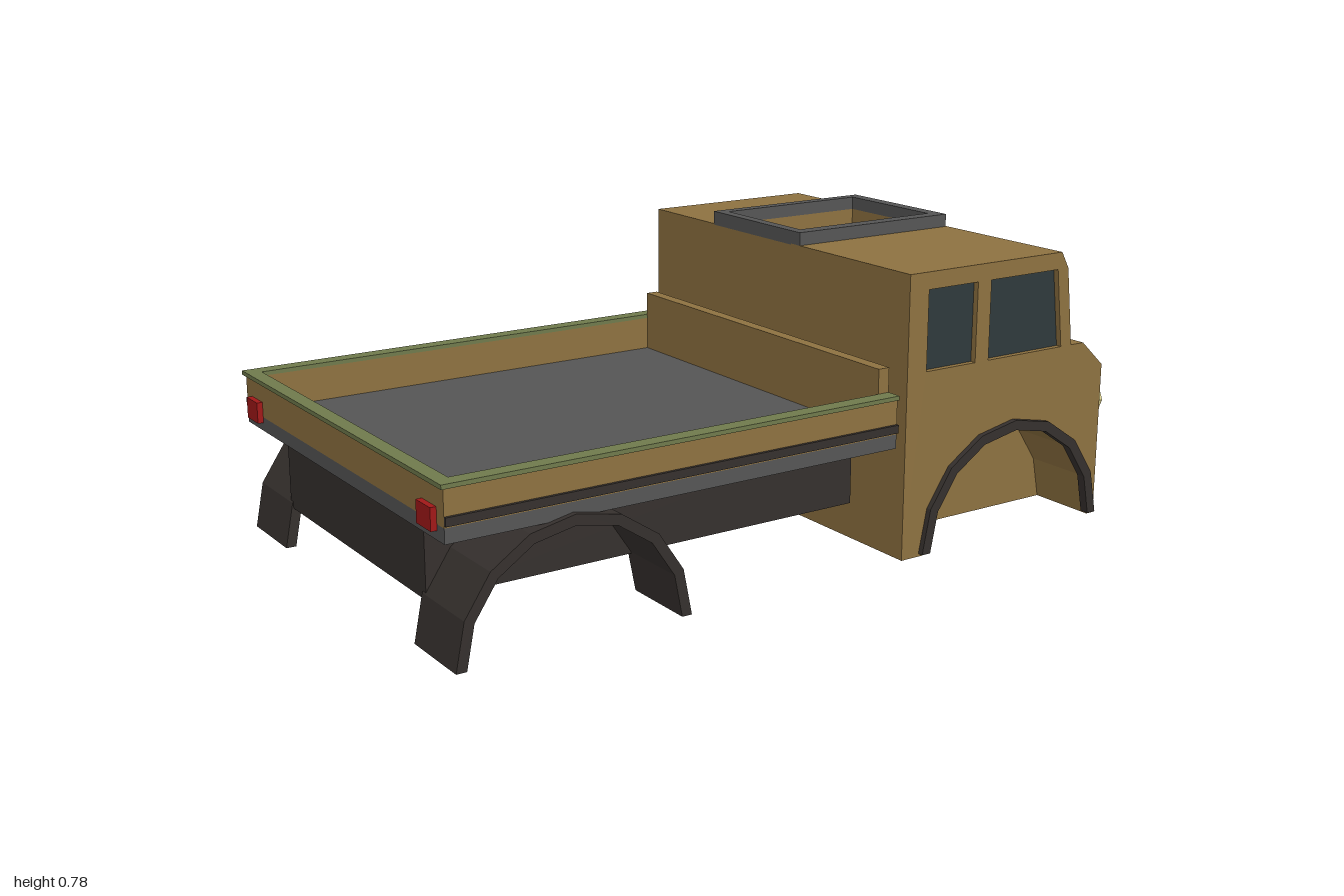
import * as THREE from 'three';

const mat = (color) => new THREE.MeshStandardMaterial({ color, flatShading: true });
const tan = mat(0x8d7140), dark = mat(0x35302d), grey = mat(0x555555), glass = mat(0x2f393c);
const green = mat(0x6f7a4c), lamp = mat(0xddd28f), red = mat(0xa01818);

const WELL_X = 0.666, WELL_IN = 0.375, SKIN = 0.545, SIDE = 0.565;

// half-circle points from the right foot over the top to the left foot
function arc(cx, r, y0, n = 8) {
  return Array.from({ length: n + 1 }, (_, i) => {
    const a = (i / n) * Math.PI;
    return [cx + r * Math.cos(a), y0 + r * Math.sin(a)];
  });
}

export function createModel() {
  const root = new THREE.Group();

  function add(parent, name, geo, material) {
    const m = new THREE.Mesh(geo, material);
    m.name = name;
    parent.add(m);
    return m;
  }
  // box given by its limits on each axis
  function box(parent, name, material, [x0, x1], [y0, y1], [z0, z1]) {
    const g = new THREE.BoxGeometry(x1 - x0, y1 - y0, z1 - z0);
    g.translate((x0 + x1) / 2, (y0 + y1) / 2, (z0 + z1) / 2);
    return add(parent, name, g, material);
  }
  // side outline extruded from z0 to z1
  function prism(parent, name, material, pts, z0, z1, holes = []) {
    const toV = (list) => list.map(([x, y]) => new THREE.Vector2(x, y));
    const shape = new THREE.Shape(toV(pts));
    holes.forEach((h) => shape.holes.push(new THREE.Path(toV(h))));
    const g = new THREE.ExtrudeGeometry(shape, { depth: z1 - z0, bevelEnabled: false });
    g.translate(0, 0, z0);
    return add(parent, name, g, material);
  }
  // same prism on both sides, zi to zo outward
  function mirrored(parent, name, material, pts, zi, zo, holes) {
    prism(parent, name + 'Left', material, pts, zi, zo, holes);
    prism(parent, name + 'Right', material, pts, -zo, -zi, holes);
  }

  // ---- cab ----
  const cab = new THREE.Group();
  cab.name = 'cab';
  root.add(cab);

  const nose = [[0.865, 0.49], [0.91, 0.49], [0.985, 0.42], [0.985, 0]];
  const brow = [[0.84, 0.7], [0.815, 0.745]];
  const recess = [[0.825, 0.7], [0.85, 0.49]];
  const floor = [[0.3, 0]];
  const roof = [[0.3, 0.745]];
  const front = [...nose].reverse();
  const back = [...recess].reverse();
  const hatchCut = [[0.775, 0.745], [0.775, 0.675], [0.33, 0.675], [0.33, 0.745]];
  const wellCut = arc(WELL_X, 0.295, 0).reverse();

  const plain = [...floor, ...front, ...back, ...brow, ...roof];
  const notched = [...floor, ...front, ...back, ...brow, ...hatchCut, ...roof];
  const arched = [...floor, ...wellCut, ...front, ...back, ...brow, ...roof];
  const skin = [...floor, ...wellCut, ...front, ...brow, ...roof];
  const solid = [...floor, ...front, ...brow, ...roof];

  prism(cab, 'cabCoreRight', tan, plain, -WELL_IN, -0.25);
  prism(cab, 'cabCoreUnderHatch', tan, notched, -0.25, 0.08);
  prism(cab, 'cabCoreLeft', tan, plain, 0.08, WELL_IN);
  mirrored(cab, 'wheelWell', tan, arched, WELL_IN, SKIN);

  // side skins with window openings, glass set behind them
  const rearWindow = [[0.362, 0.49], [0.525, 0.49], [0.525, 0.7], [0.362, 0.7]];
  const doorWindow = [[0.57, 0.49], [0.828, 0.49], [0.803, 0.7], [0.57, 0.7]];
  mirrored(cab, 'sidePanel', tan, skin, SKIN, SIDE, [rearWindow, doorWindow]);
  mirrored(cab, 'rearSideWindow', glass, rearWindow, SKIN - 0.005, SKIN + 0.004);
  mirrored(cab, 'doorWindow', glass, doorWindow, SKIN - 0.005, SKIN + 0.004);

  // split windshield
  prism(cab, 'windshieldPost', tan, solid.filter(([, y]) => y >= 0.49 && y <= 0.7)
    .filter(([x]) => x < 0.9).concat([[0.8, 0.7], [0.8, 0.49]]), -0.019, 0.019);
  mirrored(cab, 'windshield', glass,
    [[0.84, 0.49], [0.854, 0.49], [0.829, 0.7], [0.815, 0.7]], 0.019, SKIN);

  // wheel arch trim
  const archRing = (cx) => [...arc(cx, 0.31, 0.008), ...arc(cx, 0.283, 0.008).reverse()];
  mirrored(cab, 'archTrim', dark, archRing(WELL_X), 0.555, 0.58);

  // roof hatch
  const hatch = new THREE.Group();
  hatch.name = 'roofHatch';
  cab.add(hatch);
  const hy = [0.742, 0.78];
  box(hatch, 'hatchFrameRear', grey, [0.3, 0.33], hy, [-0.28, 0.118]);
  box(hatch, 'hatchFrameFront', grey, [0.775, 0.81], hy, [-0.28, 0.118]);
  box(hatch, 'hatchFrameLeft', grey, [0.33, 0.775], hy, [0.08, 0.118]);
  box(hatch, 'hatchFrameRight', grey, [0.33, 0.775], hy, [-0.28, -0.25]);
  box(hatch, 'hatchGlass', glass, [0.33, 0.775], [0.67, 0.685], [-0.25, 0.08]);

  // grille: dark panel with upright bars
  box(cab, 'grillePanel', dark, [0.98, 0.99], [0.145, 0.4], [-0.258, 0.258]);
  for (let i = -2; i <= 2; i++) {
    const z = i * 0.103;
    box(cab, 'grilleBar', tan, [0.98, 1], [0.145, 0.4], [z - 0.02, z + 0.02]);
  }

  // headlights
  for (const s of [1, -1]) {
    const g = new THREE.CylinderGeometry(0.061, 0.061, 0.02, 8);
    g.rotateZ(-Math.PI / 2);
    g.translate(0.99, 0.317, s * 0.5);
    add(cab, 'headlight', g, lamp);
  }

  // ---- cargo bed ----
  const bed = new THREE.Group();
  bed.name = 'cargoBed';
  root.add(bed);

  box(bed, 'chassis', dark, [-0.95, 0.27], [0.112, 0.306], [-0.39, 0.39]);
  box(bed, 'bedFloor', grey, [-0.985, 0.27], [0.305, 0.342], [-SIDE, SIDE]);
  box(bed, 'tailBoard', tan, [-0.985, -0.955], [0.342, 0.432], [-SIDE, SIDE]);
  box(bed, 'tailRim', green, [-0.993, -0.955], [0.432, 0.443], [-0.572, 0.572]);
  box(bed, 'headBoard', tan, [0.237, 0.27], [0.342, 0.507], [-0.53, 0.53]);
  for (const s of [1, -1]) {
    const span = (a, b) => (s > 0 ? [a, b] : [-b, -a]);
    box(bed, 'sideBoard', tan, [-0.955, 0.27], [0.342, 0.432], span(0.53, SIDE));
    box(bed, 'sideRim', green, [-0.955, 0.27], [0.432, 0.443], span(0.53, 0.572));
    box(bed, 'sideStrip', dark, [-0.985, 0.27], [0.347, 0.368], span(0.555, 0.573));
    box(bed, 'tailLight', red, [-1, -0.98], [0.327, 0.382], span(0.46, 0.53));
  }

  // rear fenders
  mirrored(bed, 'rearFender', dark, archRing(-WELL_X), WELL_IN, 0.58);

  return root;
}
